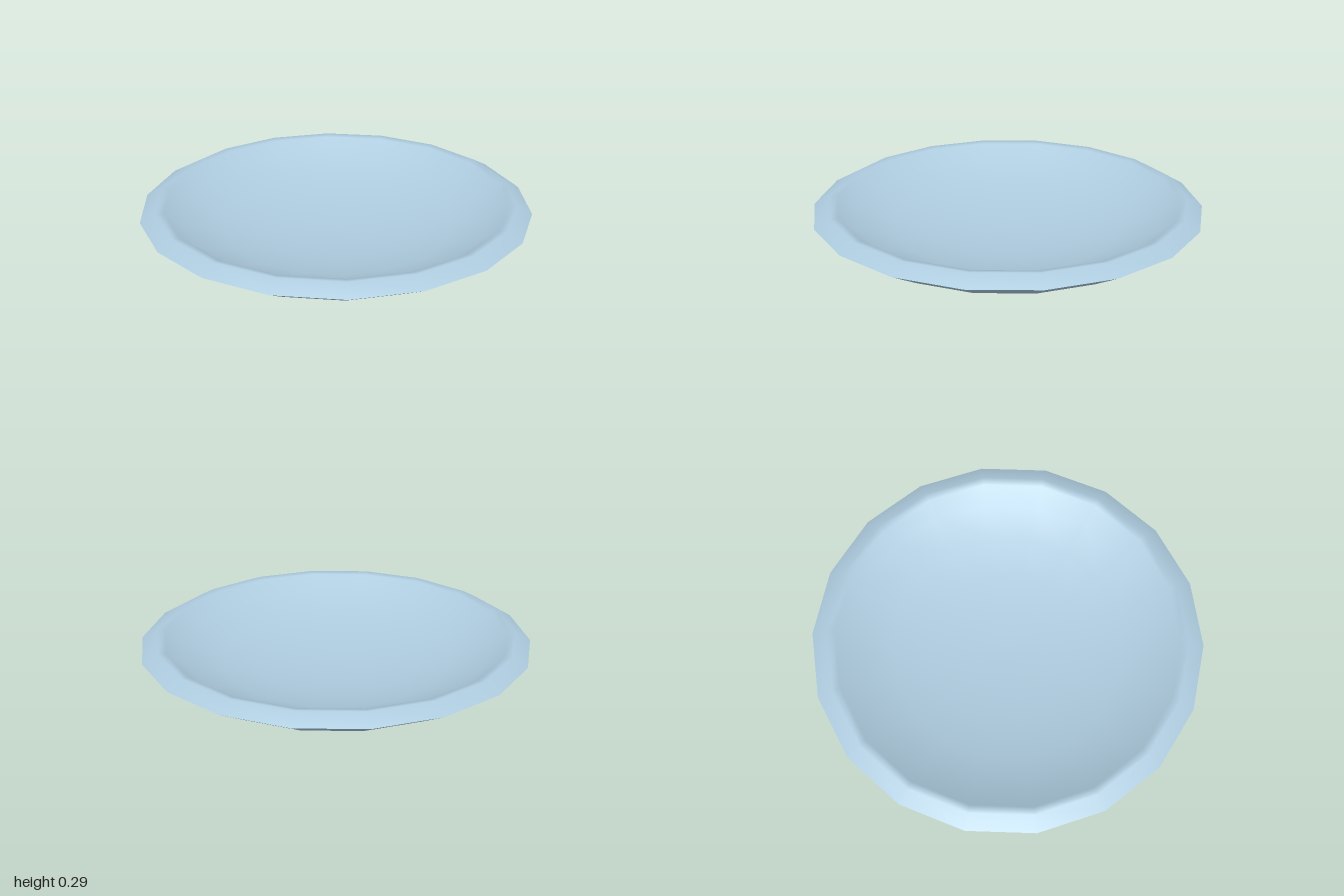
import * as THREE from 'three';

const SIDES = 18;

// Turned surface from [radius, height] pairs, smooth along the profile
function turned(name, profile, material) {
  const points = profile.map(([r, y]) => new THREE.Vector2(r, y));
  const mesh = new THREE.Mesh(new THREE.LatheGeometry(points, SIDES), material);
  mesh.name = name;
  return mesh;
}

export function createModel() {
  const glaze = new THREE.MeshStandardMaterial({ color: 0xadcbde });
  glaze.name = 'pale blue glaze';

  const dish = new THREE.Group();
  dish.name = 'dish';

  // Foot ring with a flat base
  const foot = new THREE.Mesh(new THREE.CylinderGeometry(0.43, 0.43, 0.075, SIDES), glaze);
  foot.name = 'foot';
  foot.position.y = 0.0375;
  dish.add(foot);

  // Flared underside, meeting the rim at a sharp edge
  dish.add(turned('underside', [[0.4, 0.068], [0.43, 0.07], [0.82, 0.145], [1, 0.25]], glaze));

  // Sloping lip that rolls over into the shallow bowl
  dish.add(turned('lipAndBowl', [
    [1, 0.25], [0.92, 0.295], [0.88, 0.288], [0.79, 0.222],
    [0.6, 0.158], [0.4, 0.12], [0.2, 0.1], [0.04, 0.095], [0, 0.095],
  ], glaze));

  return dish;
}
